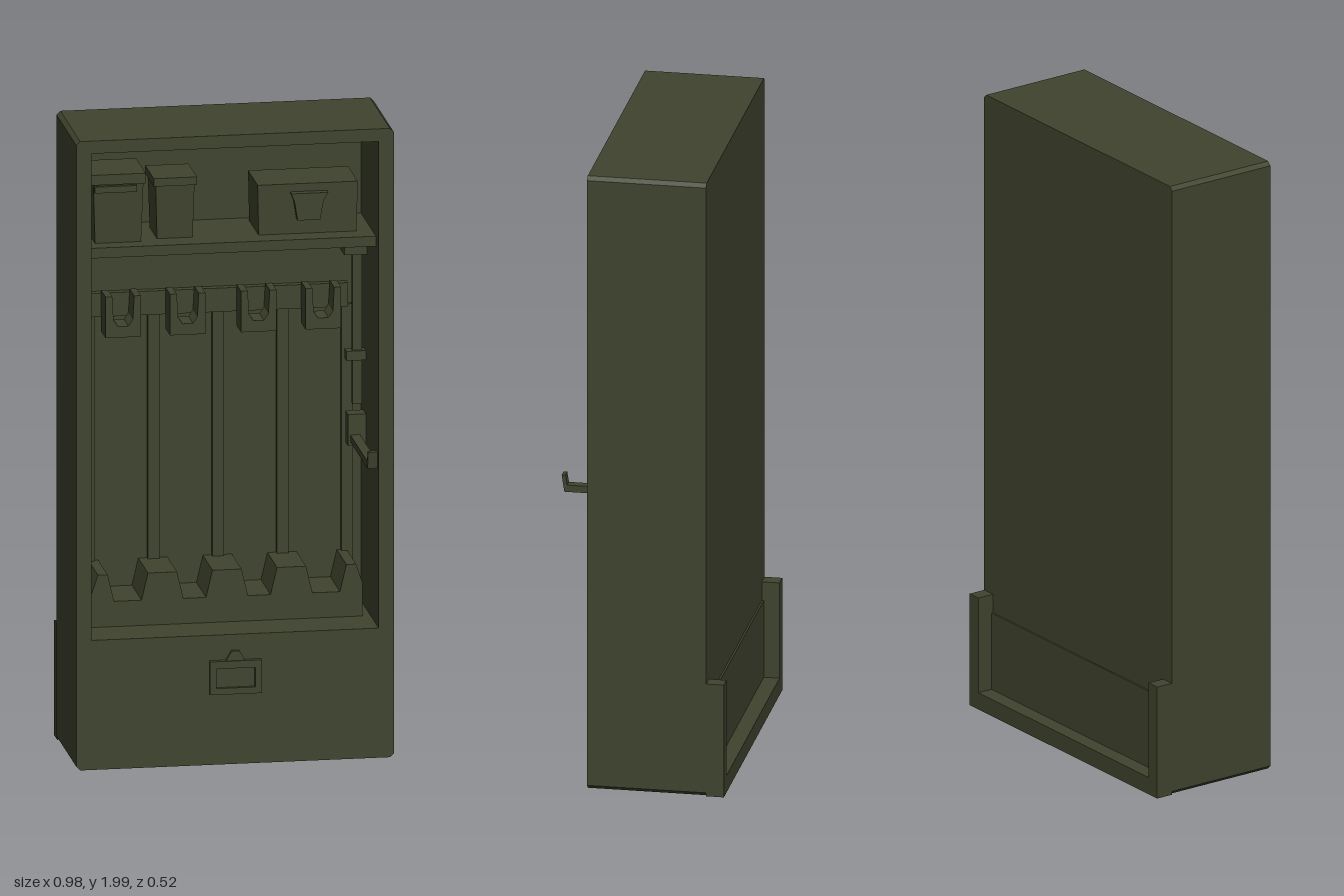
import * as THREE from 'three';

export function createModel() {
  const root = new THREE.Group();
  root.name = 'equipmentCabinet';
  const olive = new THREE.MeshStandardMaterial({ color: 0x3f432d });
  olive.name = 'olivePaint';

  function add(name, geometry, x = 0, y = 0, z = 0) {
    const mesh = new THREE.Mesh(geometry, olive);
    mesh.name = name;
    mesh.position.set(x, y, z);
    root.add(mesh);
    return mesh;
  }
  // Box given by its limits on each axis
  function box(name, x0, x1, y0, y1, z0, z1) {
    return add(name, new THREE.BoxGeometry(x1 - x0, y1 - y0, z1 - z0),
      (x0 + x1) / 2, (y0 + y1) / 2, (z0 + z1) / 2);
  }
  // Front outline pulled from z0 to z1
  function slab(name, points, z0, z1, hole, x = 0) {
    const shape = new THREE.Shape(points.map(p => new THREE.Vector2(...p)));
    if (hole) shape.holes.push(new THREE.Path(hole.map(p => new THREE.Vector2(...p))));
    return add(name, new THREE.ExtrudeGeometry(shape, { depth: z1 - z0, bevelEnabled: false, curveSegments: 8 }), x, 0, z0);
  }
  const rect = (x0, x1, y0, y1) => [[x0, y0], [x1, y0], [x1, y1], [x0, y1]];

  // Outer case with slightly clipped corners
  const w = 0.492, b = 0.005, t = 1.995, c = 0.012;
  slab('case', [[-w + c, b], [w - c, b], [w, b + c], [w, t - c], [w - c, t], [-w + c, t], [-w, t - c], [-w, b + c]],
    -0.2, 0.17, rect(-0.445, 0.445, 0.415, 1.955));
  box('backPanel', -0.445, 0.445, 0.415, 1.955, -0.2, -0.16);
  box('shelf', -0.445, 0.445, 1.61, 1.642, -0.16, 0.12);

  // Raised skirt around the lower back
  for (const s of [-1, 1]) {
    const x = s * 0.467;
    box('rearFlange', x - 0.023, x + 0.023, 0.005, 0.37, -0.255, -0.2);
  }
  box('rearSill', -0.444, 0.444, 0.005, 0.06, -0.255, -0.2);
  box('rearLowerPlate', -0.444, 0.444, 0.06, 0.31, -0.206, -0.2);

  // Vertical strips between the bays
  for (const x of [-0.4, -0.2, 0, 0.2, 0.4])
    box('dividerStrip', x - 0.018, x + 0.018, 0.5, 1.36, -0.16, -0.145);

  // Upper rail with notched holders
  box('upperRail', -0.44, 0.4, 1.355, 1.43, -0.16, -0.135);
  for (const x of [-0.31, -0.11, 0.11, 0.31]) {
    slab('holder', [[-0.055, 1.31], [0.055, 1.31], [0.055, 1.44], [0.034, 1.44], [0.03, 1.365],
      [0.016, 1.345], [-0.016, 1.345], [-0.03, 1.365], [-0.034, 1.44], [-0.055, 1.44]], -0.135, -0.05, null, x);
  }

  // Lower rack with sloped humps between the slots
  const profile = [[-0.42, 0.415], [0.42, 0.415], [0.42, 0.52], [0.4, 0.58], [0.37, 0.58], [0.35, 0.495]];
  for (const x of [0.2, 0, -0.2])
    profile.push([x + 0.065, 0.495], [x + 0.045, 0.58], [x - 0.045, 0.58], [x - 0.065, 0.495]);
  profile.push([-0.35, 0.495], [-0.37, 0.58], [-0.4, 0.58], [-0.42, 0.52]);
  slab('lowerRack', profile, -0.16, 0.02);

  // Containers on the shelf
  function tub(name, x, z, wide, deep, y1, taper) {
    const g = new THREE.BoxGeometry(wide, y1 - 1.642, deep);
    const p = g.attributes.position;
    for (let i = 0; i < p.count; i++)
      if (p.getY(i) < 0) { p.setX(i, p.getX(i) * taper); p.setZ(i, p.getZ(i) * taper); }
    g.computeVertexNormals();
    add(name, g, x, (y1 + 1.642) / 2, z);
  }
  tub('largeTub', -0.345, -0.01, 0.155, 0.16, 1.83, 0.92);
  box('largeTubLid', -0.43, -0.262, 1.83, 1.862, -0.1, 0.08);
  box('largeTubLatch', -0.42, -0.29, 1.805, 1.825, 0.06, 0.083);
  tub('smallTub', -0.165, -0.03, 0.12, 0.15, 1.81, 0.92);
  box('smallTubLid', -0.232, -0.098, 1.81, 1.835, -0.11, 0.05);
  tub('wideBin', 0.245, -0.04, 0.31, 0.18, 1.8, 0.98);
  slab('binPocket', [[0.21, 1.69], [0.28, 1.69], [0.29, 1.75], [0.305, 1.775], [0.19, 1.775], [0.2, 1.75]], 0.04, 0.075);

  // Strap and bracket on the left inner wall
  box('strap', 0.405, 0.435, 1.06, 1.54, -0.1, -0.08);
  box('strapBracket', 0.375, 0.445, 1.54, 1.575, -0.13, -0.05);
  box('strapBuckle', 0.39, 0.445, 0.93, 1.03, -0.12, -0.07);
  box('strapClip', 0.385, 0.445, 1.2, 1.23, -0.11, -0.07);

  // Forward hook with turned-up tip
  box('hookArm', 0.397, 0.427, 0.943, 0.965, -0.1, 0.25);
  const tip = box('hookTip', 0.397, 0.427, 0.945, 0.998, 0.245, 0.257);
  tip.rotation.x = 0.15;

  // Label holder on the lower front
  slab('labelFrame', rect(-0.08, 0.08, 0.23, 0.335), 0.168, 0.187, rect(-0.06, 0.06, 0.25, 0.312));
  box('labelPlate', -0.06, 0.06, 0.25, 0.312, 0.168, 0.175);
  slab('labelTab', [[-0.03, 0.335], [0.03, 0.335], [0.012, 0.365], [-0.012, 0.365]], 0.168, 0.182);

  return root;
}
